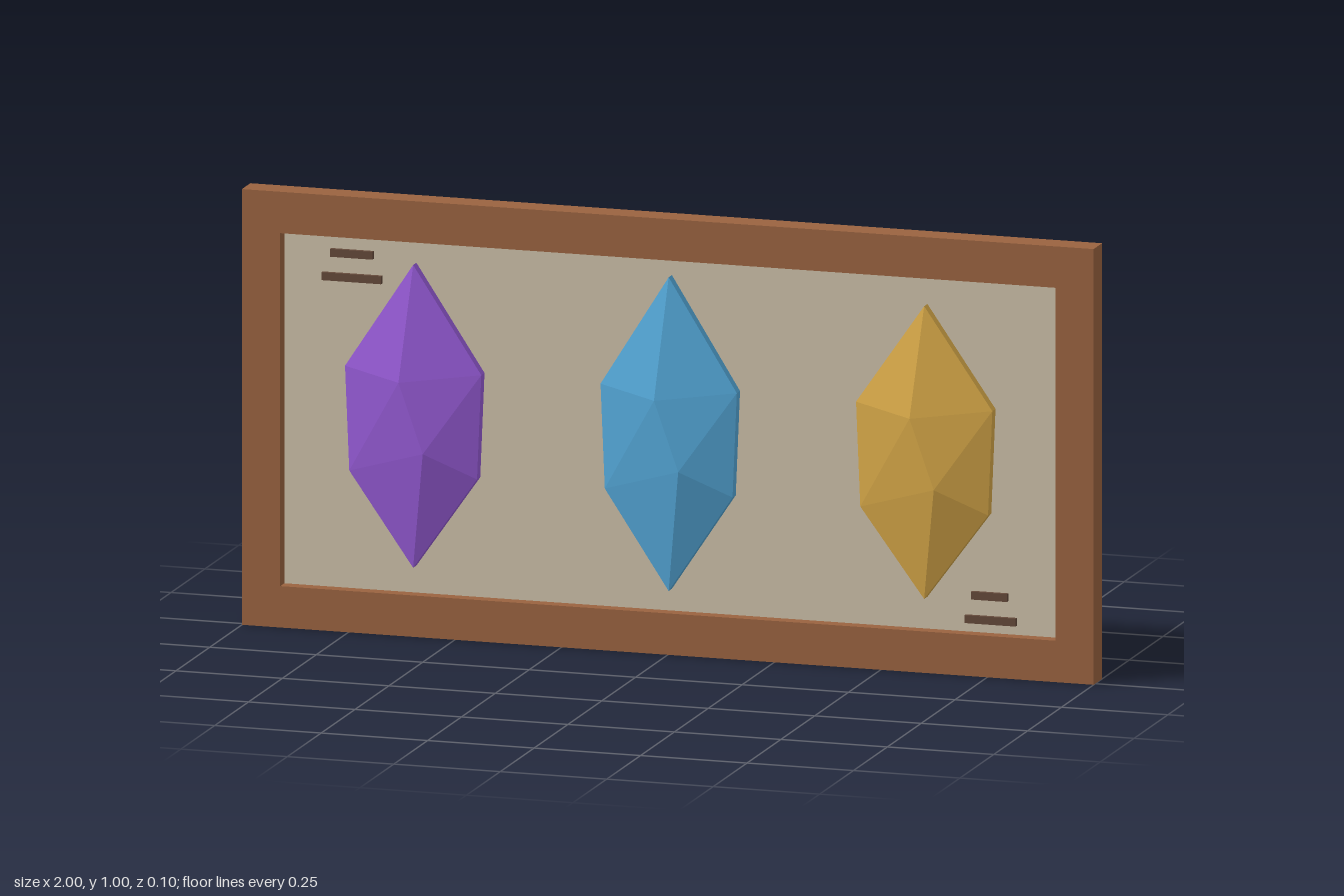
import * as THREE from 'three';

const BACK = -0.05, FRONT = 0.0125, PANEL = -0.018, RIM = 0.006, PEAK = 0.052;
const mat = (color, flatShading = false) => new THREE.MeshStandardMaterial({ color, flatShading });

function box(name, material, [x0, x1], [y0, y1], [z0, z1]) {
  const mesh = new THREE.Mesh(new THREE.BoxGeometry(x1 - x0, y1 - y0, z1 - z0), material);
  mesh.position.set((x0 + x1) / 2, (y0 + y1) / 2, (z0 + z1) / 2);
  mesh.name = name;
  return mesh;
}

// Rectangular frame with a rectangular opening
function makeFrame() {
  const shape = new THREE.Shape([[-1, 0], [1, 0], [1, 1], [-1, 1]].map(p => new THREE.Vector2(...p)));
  shape.holes.push(new THREE.Path(
    [[-0.91, 0.095], [-0.91, 0.905], [0.91, 0.905], [0.91, 0.095]].map(p => new THREE.Vector2(...p))));
  const geometry = new THREE.ExtrudeGeometry(shape, { depth: FRONT - BACK, bevelEnabled: false });
  geometry.translate(0, 0, BACK);
  const mesh = new THREE.Mesh(geometry, mat(0x9a6340));
  mesh.name = 'frame';
  return mesh;
}

// Faceted crystal: six-sided outline with straight walls and two off-centre peaks
function makeCrystal(name, color, x, bottom, top) {
  const outline = [[0, top], [-0.16, 0.61], [-0.15, 0.37], [0, bottom], [0.15, 0.37], [0.16, 0.61]];
  const points = [
    ...outline.map(([px, py]) => [px, py, RIM]),
    ...outline.map(([px, py]) => [px, py, PANEL]),
    [-0.02, 0.59, PEAK], [0.037, 0.43, PEAK],
  ];
  const A = 12, B = 13;
  const index = [0, 1, A, 1, 2, A, 2, B, A, 2, 3, B, 3, 4, B, 4, 5, B, 5, A, B, 5, 0, A];
  for (let i = 0; i < 6; i++) {
    const j = (i + 1) % 6;
    index.push(i, i + 6, j, j, i + 6, j + 6);
    if (i > 0 && i < 5) index.push(6, j + 6, i + 6);
  }
  const indexed = new THREE.BufferGeometry();
  indexed.setAttribute('position', new THREE.Float32BufferAttribute(points.flat(), 3));
  indexed.setIndex(index);
  const geometry = indexed.toNonIndexed();
  geometry.computeVertexNormals();
  const mesh = new THREE.Mesh(geometry, mat(color, true));
  mesh.position.x = x;
  mesh.name = name;
  return mesh;
}

export function createModel() {
  const model = new THREE.Group();
  model.name = 'crystalDisplay';
  model.add(makeFrame());

  // Backing panel set into the frame
  model.add(box('backPanel', mat(0xcdc0a8), [-0.91, 0.91], [0.095, 0.905], [-0.047, PANEL]));

  // Three crystals in a row
  model.add(
    makeCrystal('purpleCrystal', 0x965bd6, -0.6, 0.157, 0.852),
    makeCrystal('blueCrystal', 0x55a9da, 0, 0.145, 0.865),
    makeCrystal('amberCrystal', 0xd8a949, 0.6, 0.168, 0.84),
  );

  // Small dark bars in two opposite corners
  const dark = mat(0x64493a);
  [[-0.8, -0.7, 0.863], [-0.82, -0.68, 0.808], [0.705, 0.79, 0.18], [0.69, 0.81, 0.125]]
    .forEach(([x0, x1, y], i) => model.add(
      box(`cornerBar${i + 1}`, dark, [x0, x1], [y - 0.009, y + 0.009], [PANEL - 0.005, PANEL + 0.01])));

  return model;
}
